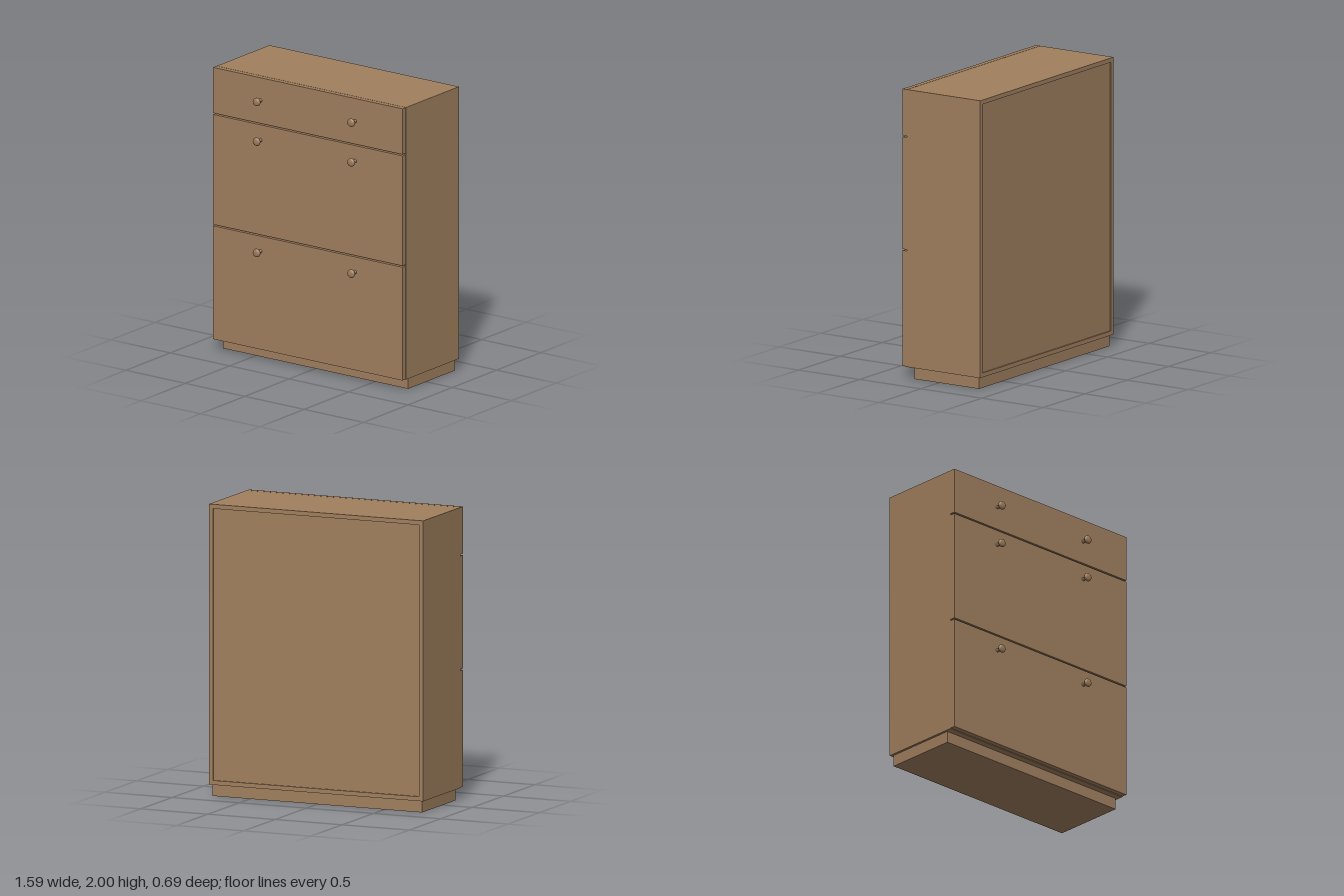
import * as THREE from 'three';

export function createModel() {
  const group = new THREE.Group();
  const wood = new THREE.MeshStandardMaterial({ color: 0xa07f5e });
  wood.name = 'brown wood';

  // Box board given by its extents on each axis
  function board(name, x0, x1, y0, y1, z0, z1) {
    const mesh = new THREE.Mesh(new THREE.BoxGeometry(x1 - x0, y1 - y0, z1 - z0), wood);
    mesh.position.set((x0 + x1) / 2, (y0 + y1) / 2, (z0 + z1) / 2);
    mesh.name = name;
    group.add(mesh);
  }

  const W = 0.797, T = 0.03, BACK = -0.347, BODY = 0.25, FRONT = 0.289;
  const base = 0.08, top = 2;

  // Carcass
  board('plinth', -0.78, 0.78, 0, base, -0.326, 0.202);
  board('topPanel', -W, W, top - T, top, BACK, BODY);
  board('rightSide', -W, -W + T, base, top - T, BACK, BODY);
  board('leftSide', W - T, W, base, top - T, BACK, BODY);
  board('bottomPanel', -W + T, W - T, base, base + T, BACK, BODY);
  board('backPanel', -W + T, W - T, base + T, top - T, BACK + 0.01, BACK + 0.022);

  // Knob: thin stem flaring to a shallow domed head
  const profile = [
    [0.013, 0], [0.0105, 0.006], [0.0105, 0.02], [0.015, 0.026], [0.026, 0.036],
    [0.029, 0.041], [0.029, 0.047], [0.026, 0.053], [0.016, 0.057], [0, 0.058],
  ].map(([r, h]) => new THREE.Vector2(r, h));
  const knobGeometry = new THREE.LatheGeometry(profile, 24).rotateX(Math.PI / 2);

  // Drawer and flap fronts, each with a pair of knobs
  const fronts = [
    ['lowerFlap', 0.083, 0.882, 0.775],
    ['upperFlap', 0.892, 1.668, 1.56],
    ['topDrawer', 1.678, 2, 1.84],
  ];
  for (const [name, y0, y1, knobY] of fronts) {
    board(name, -W, W, y0, y1, BODY + 0.003, FRONT);
    for (const side of [-1, 1]) {
      const knob = new THREE.Mesh(knobGeometry, wood);
      knob.position.set(side * 0.398, knobY, FRONT);
      knob.name = name + (side > 0 ? 'LeftKnob' : 'RightKnob');
      group.add(knob);
    }
  }
  return group;
}
